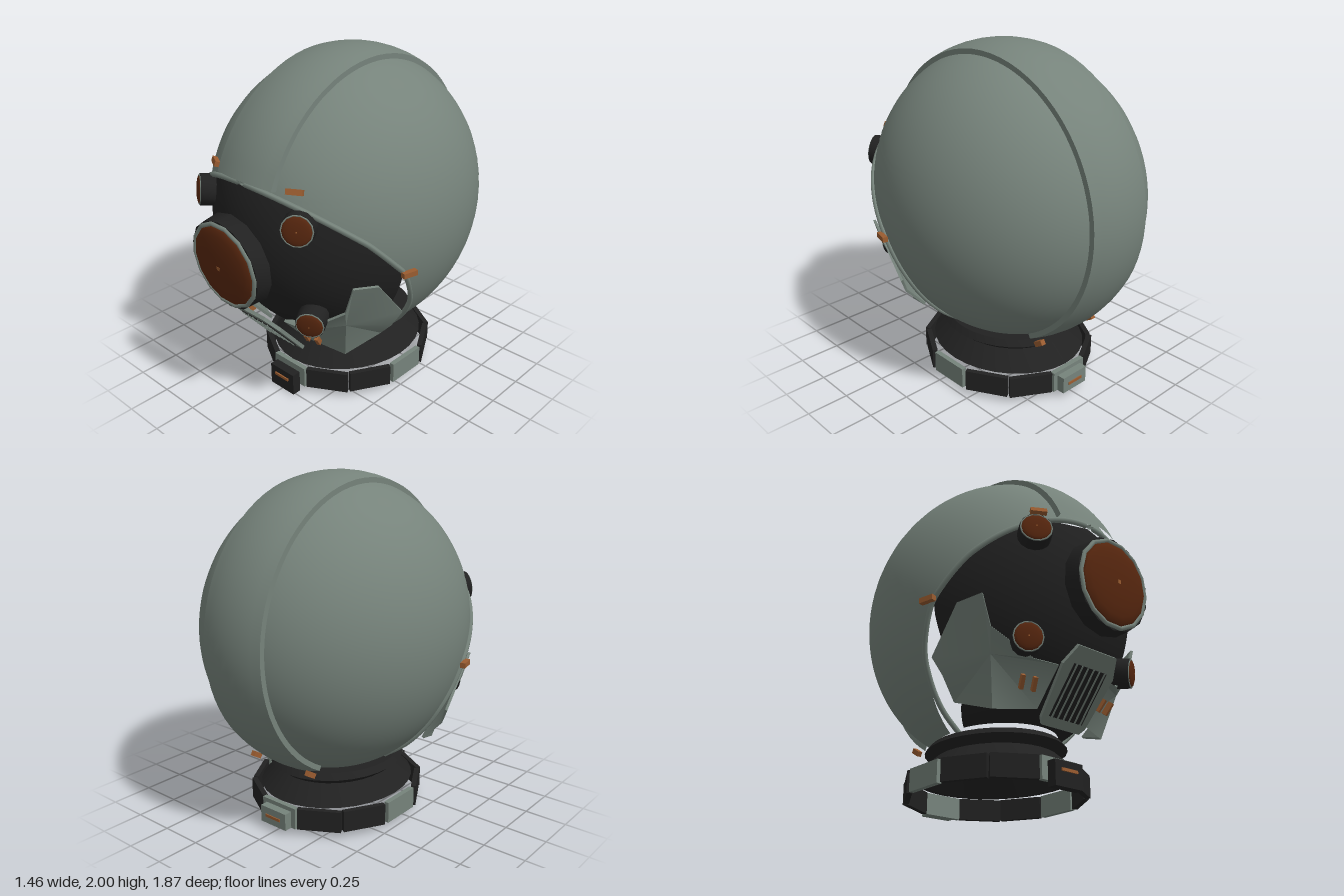
import * as THREE from 'three';
import { toCreasedNormals } from 'three/addons/utils/BufferGeometryUtils.js';

const CY = 1.12, CZ = -0.06, R = 0.85, RX = 0.73;   // helmet ellipsoid
const mat = (name, color) => {
  const m = new THREE.MeshStandardMaterial({ color });
  m.name = name;
  return m;
};

// linear interpolation through [y, z] pairs
const lerpTable = (table) => (y) => {
  for (let i = 1; i < table.length; i++) {
    const [y0, z0] = table[i - 1], [y1, z1] = table[i];
    if (y <= y1) return z0 + (z1 - z0) * (y - y0) / (y1 - y0);
  }
  return table[table.length - 1][1];
};
const edgeZ = lerpTable([[0.35, 0], [0.5, 0.04], [0.7, 0.1], [0.93, 0.22], [1.15, 0.43], [1.42, 0.745]]);
const shellEdge = (y) => edgeZ(y) - Math.max(0, 0.6 - y) * 0.25;
const visorEdge = lerpTable([[0.35, 0.03], [0.47, 0.17], [0.6, 0.22], [0.87, 0.22], [0.93, 0.225], [1.15, 0.43], [1.42, 0.745]]);

// angle from the front at which height y meets the opening edge
const edgeAngle = (y, edge) => {
  const r = Math.sqrt(Math.max(0, 1 - ((y - CY) / R) ** 2));
  if (r < 1e-6 || y > 1.43) return 0;
  return Math.acos(Math.min(1, (edge(y) - CZ) / (R * r)));
};
const onHelmet = (y, phi, k = 1) => {
  const r = Math.sqrt(Math.max(0, 1 - ((y - CY) / R) ** 2));
  return new THREE.Vector3(k * RX * r * Math.sin(phi), CY + k * (y - CY), CZ + k * R * r * Math.cos(phi));
};
const normalAt = (p) => new THREE.Vector3(p.x / RX ** 2, (p.y - CY) / R ** 2, (p.z - CZ) / R ** 2).normalize();

// patch of the ellipsoid, bounded in each row by a pair of angles
function ellipsoidPatch(y0, y1, rows, cols, range, k) {
  const pos = [], nor = [], idx = [];
  const a0 = Math.asin((y0 - CY) / R), a1 = Math.asin(Math.min(1, (y1 - CY) / R));
  for (let i = 0; i <= rows; i++) {
    const y = CY + R * Math.sin(a0 + (a1 - a0) * i / rows);
    const [p0, p1] = range(y);
    for (let j = 0; j <= cols; j++) {
      const p = onHelmet(y, p0 + (p1 - p0) * j / cols, k);
      pos.push(p.x, p.y, p.z);
      nor.push(...normalAt(p).toArray());
      if (i < rows && j < cols) {
        const a = i * (cols + 1) + j, b = a + cols + 1;
        idx.push(a, a + 1, b, a + 1, b + 1, b);
      }
    }
  }
  const g = new THREE.BufferGeometry();
  g.setAttribute('position', new THREE.Float32BufferAttribute(pos, 3));
  g.setAttribute('normal', new THREE.Float32BufferAttribute(nor, 3));
  g.setIndex(idx);
  return g;
}

export function createModel() {
  const model = new THREE.Group();
  const shellGrey = mat('shell grey', 0x76837b), black = mat('matte black', 0x212121);
  const lensBrown = mat('lens brown', 0x58270f), copper = mat('copper', 0x9a5c30);
  const add = (name, geo, m, parent = model) => {
    const mesh = new THREE.Mesh(geo, m);
    mesh.name = name;
    parent.add(mesh);
    return mesh;
  };
  const place = (obj, p, n) => {
    obj.position.copy(p);
    obj.lookAt(p.clone().add(n));
    return obj;
  };
  const V = (x, y, z) => new THREE.Vector3(x, y, z);

  // shell and dark visor
  add('shell', ellipsoidPatch(0.36, CY + R, 48, 48, (y) => {
    const a = edgeAngle(y, shellEdge);
    return [a, 2 * Math.PI - a];
  }, 1), shellGrey);
  add('visor', ellipsoidPatch(0.36, 1.418, 40, 32, (y) => {
    const a = edgeAngle(y, visorEdge);
    return [-a, a];
  }, 0.985), black);

  // trim around the opening
  const side = [];
  for (let i = 0; i <= 24; i++) {
    const y = 0.35 + 1.068 * (1 - (1 - i / 24) ** 2);
    side.push(onHelmet(y, edgeAngle(y, edgeZ), 1.005));
  }
  const rim = [...side, ...side.slice(0, -1).reverse().map((p) => V(-p.x, p.y, p.z))];
  add('openingTrim', new THREE.TubeGeometry(new THREE.CatmullRomCurve3(rim), 120, 0.015, 6), shellGrey);

  // raised band over the crown
  const profile = [new THREE.Vector2(0.78, -0.207)];
  for (let i = 0; i <= 8; i++) {
    const x = -0.207 + 0.414 * i / 8;
    profile.push(new THREE.Vector2(0.88 * Math.sqrt(1 - (x / 0.74) ** 2), x));
  }
  profile.push(new THREE.Vector2(0.78, 0.207));
  const deg = Math.PI / 180;
  const band = new THREE.LatheGeometry(profile, 44, -241 * deg, 220 * deg);
  band.rotateZ(-Math.PI / 2).translate(0, CY, CZ);
  add('crownBand', toCreasedNormals(band, 0.6), shellGrey);

  // round lenses: housing, rim, domed glass, centre pin
  function lens(name, p, n, r, depth, bulge, seg) {
    const g = place(new THREE.Group(), p, n);
    g.name = name;
    model.add(g);
    add('housing', toCreasedNormals(new THREE.CylinderGeometry(r * 0.97, r, depth, seg).rotateX(Math.PI / 2), 0.6), black, g);
    add('rim', new THREE.TorusGeometry(r * 0.9, r * 0.05, 6, seg), shellGrey, g).position.z = depth / 2;
    const dome = new THREE.SphereGeometry(r * 0.87, seg, 5, 0, Math.PI * 2, 0, Math.PI / 2);
    dome.scale(1, bulge / (r * 0.87), 1).rotateX(Math.PI / 2);
    add('glass', dome, lensBrown, g).position.z = depth / 2 + 0.002;
    add('pin', new THREE.BoxGeometry(r * 0.08, r * 0.08, 0.006), copper, g).position.z = depth / 2 + bulge;
  }
  lens('mainLens', V(0, 1, 0.843), V(0, -0.085, 1), 0.265, 0.09, 0.04, 14);

  for (const s of [1, -1]) {
    lens('upperLens', V(s * 0.36, 1.26, 0.69), V(s * 0.55, 0.1, 0.85), 0.092, 0.085, 0.015, 14);
    lens('lowerLens', V(s * 0.35, 0.68, 0.6), V(s * 0.5, -0.12, 0.85), 0.085, 0.1, 0.015, 14);

    // faceted cheek plate with a slightly inset back
    const outline = [[0.565, 0.91, 0.51], [0.62, 0.89, 0.37], [0.625, 0.65, 0.17], [0.575, 0.555, 0.2],
      [0.47, 0.44, 0.165], [0.39, 0.365, 0.38], [0.15, 0.4, 0.45], [0.15, 0.59, 0.62], [0.3, 0.59, 0.6], [0.51, 0.74, 0.51]]
      .map(([x, y, z]) => V(s * x, y, z));
    const mid = V(s * 0.46, 0.62, 0.45), pos = [];
    const inset = (p) => p.clone().addScaledVector(normalAt(p), -0.015);
    const tri = (a, b, c) => {
      const list = s > 0 ? [a, c, b] : [a, b, c];
      for (const p of list) pos.push(p.x, p.y, p.z);
    };
    outline.forEach((p, i) => {
      const q = outline[(i + 1) % outline.length], pi = inset(p), qi = inset(q);
      tri(mid, p, q);
      tri(inset(mid), qi, pi);
      tri(p, pi, q);
      tri(q, pi, qi);
    });
    const cheek = new THREE.BufferGeometry();
    cheek.setAttribute('position', new THREE.Float32BufferAttribute(pos, 3));
    add('cheekPlate', toCreasedNormals(cheek, 0.5), shellGrey);

    // copper marks on the cheek
    for (const x of [0.24, 0.31]) {
      const mark = add('cheekMark', new THREE.BoxGeometry(0.02, 0.075, 0.03), copper);
      place(mark, V(s * x, 0.49, 0.53 - (x - 0.24) * 0.2), V(s * 0.3, -0.6, 0.75));
    }

    // copper clips along the shell edges
    const clip = (p, n, w) => place(add('clip', new THREE.BoxGeometry(w, 0.03, 0.03), copper), p, n);
    clip(V(s * 0.305, 1.43, 0.66), V(s * 0.45, 0.35, 0.8), 0.09);
    clip(V(s * 0.7, 0.94, 0.22), V(s, 0, 0.25), 0.09);
    clip(V(s * 0.21, 0.39, -0.55), V(0, -0.8, -0.5), 0.03).scale.y = 2;
  }

  // chin vent, tilted to face down and forward
  const vent = new THREE.Group();
  vent.name = 'chinVent';
  vent.position.set(0, 0.5, 0.595);
  vent.rotation.x = 0.715;
  model.add(vent);
  const frame = new THREE.Shape([[-0.13, -0.225], [0.13, -0.225], [0.155, -0.19], [0.18, 0.11], [0.135, 0.225],
    [-0.135, 0.225], [-0.18, 0.11], [-0.155, -0.19]].map(([x, y]) => new THREE.Vector2(x, y)));
  add('ventFrame', new THREE.ExtrudeGeometry(frame, { depth: 0.02, bevelEnabled: false }), shellGrey, vent);
  add('ventOpening', new THREE.BoxGeometry(0.23, 0.3, 0.008), black, vent).position.set(0, -0.02, 0.022);
  for (let i = 0; i < 6; i++) {
    add('ventBar', new THREE.BoxGeometry(0.009, 0.3, 0.008), shellGrey, vent).position.set(-0.1 + 0.04 * i, -0.02, 0.026);
  }

  // neck collar
  const neck = new THREE.Group();
  neck.name = 'neck';
  neck.position.z = -0.07;
  model.add(neck);
  const collar = [[0, 0.315], [0.34, 0.315], [0.46, 0.165], [0.49, 0.165], [0.375, 0.265], [0.43, 0.305], [0.4, 0.34], [0, 0.34]]
    .map(([r, y]) => new THREE.Vector2(r, y));
  add('collar', toCreasedNormals(new THREE.LatheGeometry(collar, 32), 0.5), black, neck).scale.x = 0.89;

  // ring of twelve blocks
  for (let i = 0; i < 12; i++) {
    const a = i * Math.PI / 6;
    const block = add('collarBlock', new THREE.BoxGeometry(0.25, 0.125, 0.03), i % 3 ? black : shellGrey, neck);
    block.position.set(0.47 * Math.sin(a), 0.102, 0.505 * Math.cos(a));
    block.rotation.y = a;
  }

  // front and back latches
  add('frontLatch', new THREE.BoxGeometry(0.19, 0.135, 0.055), black).position.set(0, 0.0685, 0.487);
  add('frontLatchSlot', new THREE.BoxGeometry(0.11, 0.016, 0.012), copper).position.set(0, 0.088, 0.517);
  add('backLatch', new THREE.BoxGeometry(0.19, 0.1, 0.05), shellGrey).position.set(0, 0.09, -0.613);
  add('backLatchSlot', new THREE.BoxGeometry(0.11, 0.016, 0.012), copper).position.set(0, 0.09, -0.638);

  return model;
}
